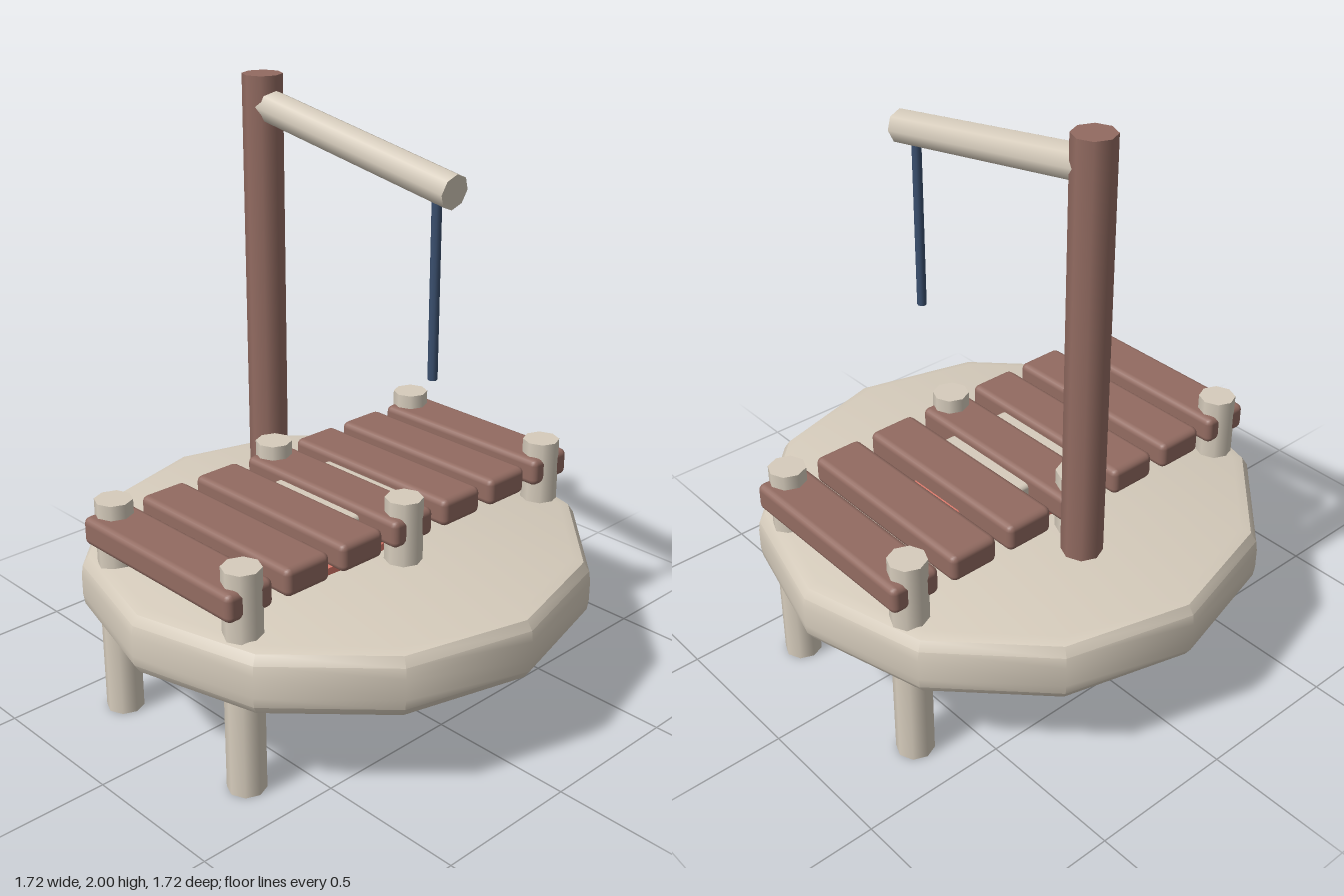
import * as THREE from 'three';
import { toCreasedNormals } from 'three/addons/utils/BufferGeometryUtils.js';
import { RoundedBoxGeometry } from 'three/addons/geometries/RoundedBoxGeometry.js';

const colour = (name, hex) => {
  const m = new THREE.MeshStandardMaterial({ color: hex });
  m.name = name;
  return m;
};

export function createModel() {
  const group = new THREE.Group();
  const sand = colour('pale sand', 0xd6ccbc);
  const wood = colour('brown wood', 0x926b61);
  const coral = colour('coral red', 0xe57f70);
  const navy = colour('navy blue', 0x3a4f6e);

  const add = (name, geometry, material, x = 0, y = 0, z = 0) => {
    const mesh = new THREE.Mesh(geometry, material);
    mesh.name = name;
    mesh.position.set(x, y, z);
    group.add(mesh);
    return mesh;
  };
  const pole = (name, r, y0, y1, material, x, z) =>
    add(name, new THREE.CylinderGeometry(r, r, y1 - y0, 8), material, x, (y0 + y1) / 2, z);

  // Twelve-sided island with rounded rim
  const rim = [[0, 0.325], [0.8, 0.325], [0.835, 0.335], [0.855, 0.365], [0.86, 0.4],
    [0.86, 0.47], [0.855, 0.505], [0.835, 0.535], [0.8, 0.545], [0, 0.545]];
  const island = new THREE.LatheGeometry(rim.map(([r, y]) => new THREE.Vector2(r, y)), 12);
  add('island', toCreasedNormals(island, 0.65), sand);

  // Dock posts
  for (const z of [-0.685, 0, 0.68])
    for (const x of [-0.317, 0.313]) pole('dockPost', 0.063, 0, 0.765, sand, x, z);

  // Dock planks
  for (let i = 0; i < 7; i++)
    add('plank', new RoundedBoxGeometry(0.725, 0.096, 0.177, 2, 0.022), wood, -0.002, 0.667, -0.688 + i * 0.2285);

  // Mast, sloping boom and hanging line
  pole('mast', 0.068, 0.585, 2, wood, -0.459, -0.1);
  const from = new THREE.Vector3(-0.459, 1.904, -0.1);
  const to = new THREE.Vector3(0.4, 1.755, -0.1);
  const boom = add('boom', new THREE.CylinderGeometry(0.057, 0.057, from.distanceTo(to), 8), sand);
  boom.position.copy(from).lerp(to, 0.5);
  boom.quaternion.setFromUnitVectors(new THREE.Vector3(0, 1, 0), to.clone().sub(from).normalize());
  pole('line', 0.016, 1.145, 1.74, navy, 0.33, -0.1);

  // Boat hull lofted from stern to bow: z, half width, deck height
  const stations = [[0.335, 0.2, 0.585], [0.3, 0.235, 0.608], [0.1, 0.248, 0.615], [-0.1, 0.22, 0.622],
    [-0.31, 0.145, 0.645], [-0.38, 0.07, 0.655], [-0.44, 0.025, 0.655]];
  const pos = [], index = [];
  const n = 6;
  stations.forEach(([z, w, top], i) => {
    const rake = i > 3 ? 0.035 * (i - 3) / 3 : 0;
    for (const [fx, y, dz] of [[0.92, 0.5, rake], [1, 0.575, rake * 0.5], [0.84, top, 0],
      [-0.84, top, 0], [-1, 0.575, rake * 0.5], [-0.92, 0.5, rake]]) pos.push(w * fx, y, z + dz);
  });
  for (let i = 0; i < stations.length - 1; i++)
    for (let j = 0; j < n; j++) {
      const a = i * n + j, b = i * n + (j + 1) % n;
      index.push(a, a + n, b, b, a + n, b + n);
    }
  const last = (stations.length - 1) * n;
  for (let j = 1; j < n - 1; j++) index.push(0, j, j + 1, last, last + j + 1, last + j);
  const hull = new THREE.BufferGeometry();
  hull.setAttribute('position', new THREE.Float32BufferAttribute(pos, 3));
  hull.setIndex(index);
  add('boatHull', toCreasedNormals(hull, 0.6), coral);

  // Boat bench
  add('boatBench', new RoundedBoxGeometry(0.39, 0.09, 0.3, 2, 0.015), sand, 0, 0.641, 0);

  return group;
}
